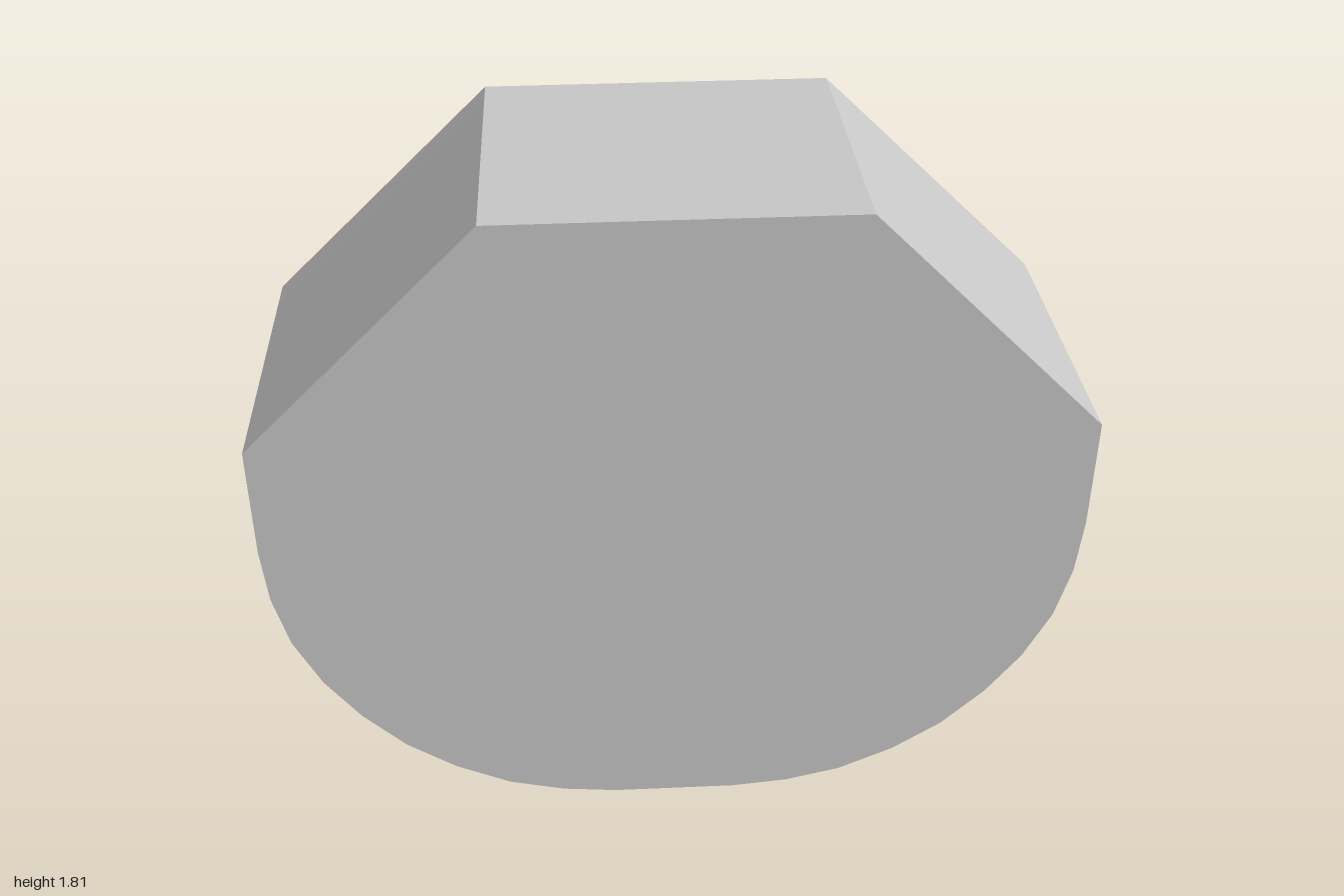
import * as THREE from 'three';

export function createModel() {
  const group = new THREE.Group();

  // Right half of the front outline, from the bottom flat up to the top edge
  const half = [
    [0.157, 0.066], [0.296, 0.08], [0.436, 0.115], [0.575, 0.182], [0.697, 0.268],
    [0.803, 0.378], [0.888, 0.498], [0.953, 0.636], [0.988, 0.78], [1, 0.93],
    [1, 1.225], [0.43, 1.81],
  ];
  const mirrored = half.map(([x, y]) => [-x, y]).reverse();
  const shape = new THREE.Shape([...half, ...mirrored].map(([x, y]) => new THREE.Vector2(x, y)));

  // Cross-sections from back to front; the rounded belly sags along a gentle curve
  const rowZ = [-0.425, -0.33, 0.07, 0.425];
  const bellyDrop = [0.066, 0.063, 0.042, 0];

  const geometry = new THREE.ExtrudeGeometry(shape, { depth: 3, steps: 3, bevelEnabled: false });
  const pos = geometry.attributes.position;
  for (let i = 0; i < pos.count; i++) {
    const row = Math.round(pos.getZ(i));
    const y = pos.getY(i);
    const z = rowZ[row];
    // The top slopes straight down to the back
    const t = (0.425 - z) / 0.85;
    const drop = y > 1.5 ? 0.095 * t : y > 1.1 ? 0.08 * t : bellyDrop[row];
    pos.setXYZ(i, pos.getX(i), y - drop, z);
  }
  geometry.computeVertexNormals();

  const body = new THREE.Mesh(
    geometry,
    new THREE.MeshStandardMaterial({ color: 0xcccccc, flatShading: true })
  );
  body.name = 'roundedBody';
  group.add(body);
  return group;
}
